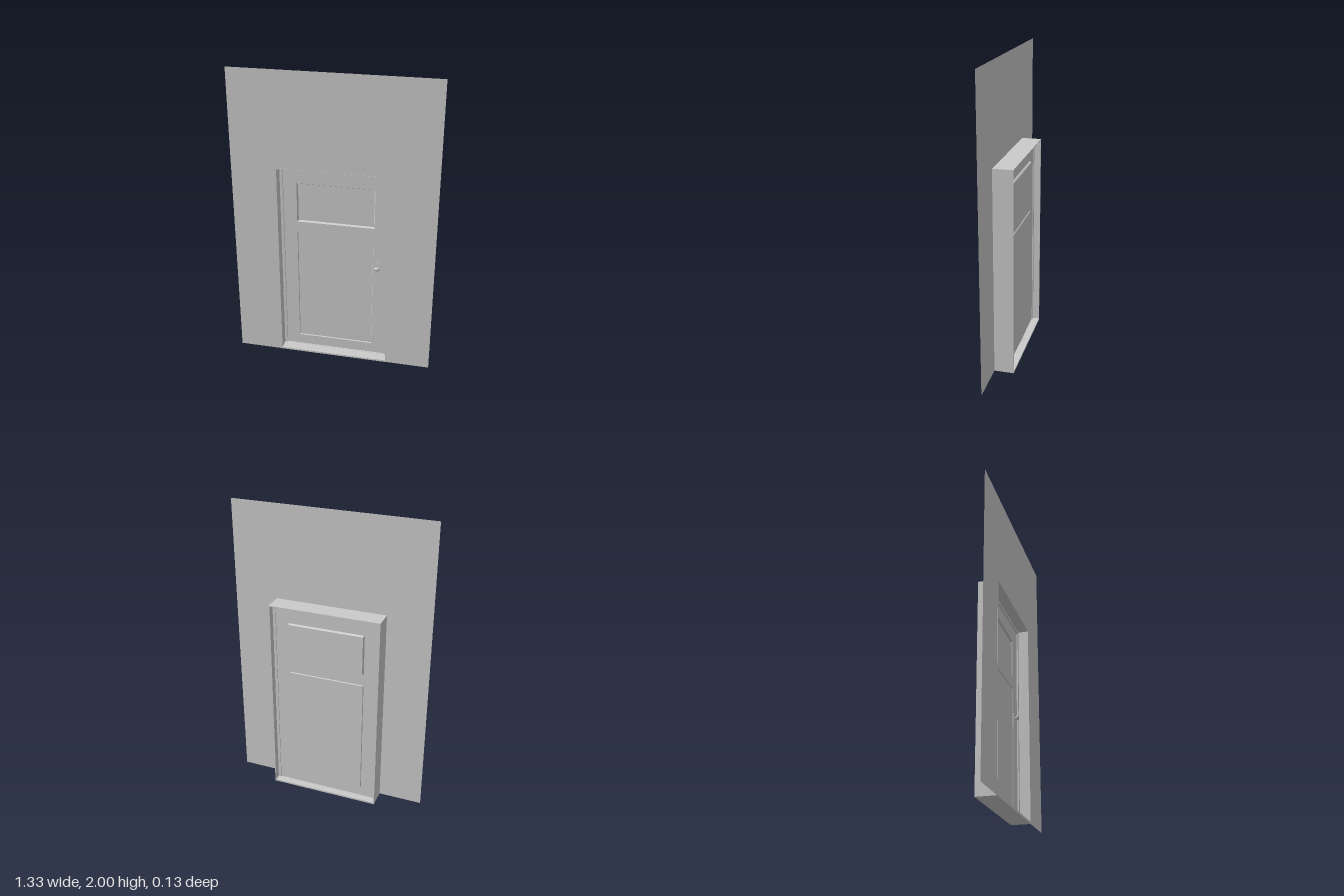
import * as THREE from 'three';

const mat = new THREE.MeshStandardMaterial({ color: 0xcccccc, side: THREE.DoubleSide, flatShading: true });
const smoothMat = new THREE.MeshStandardMaterial({ color: 0xcccccc });

const WALL_Z = 0.064, DOOR_Z = -0.015, SILL = 0.012;

function add(group, name, geometry, x = 0, y = 0, z = 0, material = mat) {
  const mesh = new THREE.Mesh(geometry, material);
  mesh.name = name;
  mesh.position.set(x, y, z);
  group.add(mesh);
  return mesh;
}

// Closed rectangle path, usable as an outline or a hole
function rect(x0, y0, x1, y1, Type = THREE.Path) {
  const p = new Type();
  p.moveTo(x0, y0).lineTo(x1, y0).lineTo(x1, y1).lineTo(x0, y1).closePath();
  return p;
}

// Pressed panel: sloped rim around a sunken flat centre
function pressedPanel([x0, y0, x1, y1], bevel, depth) {
  const corners = (b, z) => [
    [x0 + b, y0 + b, z], [x1 - b, y0 + b, z], [x1 - b, y1 - b, z], [x0 + b, y1 - b, z],
  ];
  const points = [...corners(0, 0), ...corners(bevel, -depth)];
  const index = [4, 5, 6, 4, 6, 7];
  for (let i = 0; i < 4; i++) {
    const j = (i + 1) % 4;
    index.push(i, j, j + 4, i, j + 4, i + 4);
  }
  const g = new THREE.BufferGeometry();
  g.setAttribute('position', new THREE.Float32BufferAttribute(points.flat(), 3));
  g.setIndex(index);
  const flat = g.toNonIndexed();
  flat.computeVertexNormals();
  return flat;
}

export function createModel() {
  const model = new THREE.Group();
  model.name = 'doorInWall';

  // Thin wall sheet with the doorway cut out
  const wall = new THREE.Shape();
  wall.moveTo(-0.665, 0).lineTo(-0.37, 0).lineTo(-0.37, 1.37).lineTo(0.37, 1.37)
    .lineTo(0.37, 0).lineTo(0.665, 0).lineTo(0.665, 2).lineTo(-0.665, 2).closePath();
  add(model, 'wall', new THREE.ShapeGeometry(wall), 0, 0, WALL_Z);

  // Deep lining of the doorway: jambs, head and sill
  const frame = new THREE.Group();
  frame.name = 'doorFrame';
  model.add(frame);
  for (const s of [-1, 1]) {
    add(frame, s > 0 ? 'leftJamb' : 'rightJamb', new THREE.BoxGeometry(0.006, 1.37, 0.131), s * 0.369, 0.685, 0);
  }
  add(frame, 'head', new THREE.BoxGeometry(0.732, 0.006, 0.131), 0, 1.367, 0);
  add(frame, 'sill', new THREE.BoxGeometry(0.732, SILL, 0.131), 0, SILL / 2, 0);

  // Door stop: narrow raised band around the leaf
  const stop = rect(-0.367, SILL, 0.367, 1.365, THREE.Shape);
  stop.holes.push(rect(-0.347, SILL + 0.001, 0.347, 1.345));
  add(frame, 'doorStop', new THREE.ExtrudeGeometry(stop, { depth: 0.016, bevelEnabled: false }), 0, 0, -0.021);

  // Door leaf with two pressed panels
  const door = new THREE.Group();
  door.name = 'door';
  door.position.z = DOOR_Z;
  model.add(door);
  const upper = [-0.258, 0.973, 0.258, 1.246];
  const lower = [-0.258, 0.085, 0.254, 0.89];
  const leaf = rect(-0.349, SILL, 0.349, 1.347, THREE.Shape);
  leaf.holes.push(rect(...upper), rect(...lower));
  add(door, 'leaf', new THREE.ShapeGeometry(leaf));
  add(door, 'upperPanel', pressedPanel(upper, 0.007, 0.014));
  add(door, 'lowerPanel', pressedPanel(lower, 0.003, 0.006));

  // Rounded handle plate
  const r = 0.022, plate = new THREE.Shape();
  plate.absarc(0, 0.04, r, 0, Math.PI).absarc(0, -0.04, r, Math.PI, Math.PI * 2).closePath();
  add(door, 'handlePlate', new THREE.ExtrudeGeometry(plate, { depth: 0.003, bevelEnabled: false, curveSegments: 10 }), 0.287, 0.668, 0);

  // Oval knob on a short neck
  const profile = [[0.008, 0], [0.008, 0.009], [0.015, 0.012], [0.02, 0.018], [0.017, 0.025], [0.009, 0.028], [0, 0.029]];
  const knob = new THREE.LatheGeometry(profile.map(([a, b]) => new THREE.Vector2(a, b)), 20);
  knob.rotateX(Math.PI / 2).scale(1, 0.75, 1);
  add(door, 'knob', knob, 0.284, 0.69, 0.002, smoothMat);

  return model;
}
